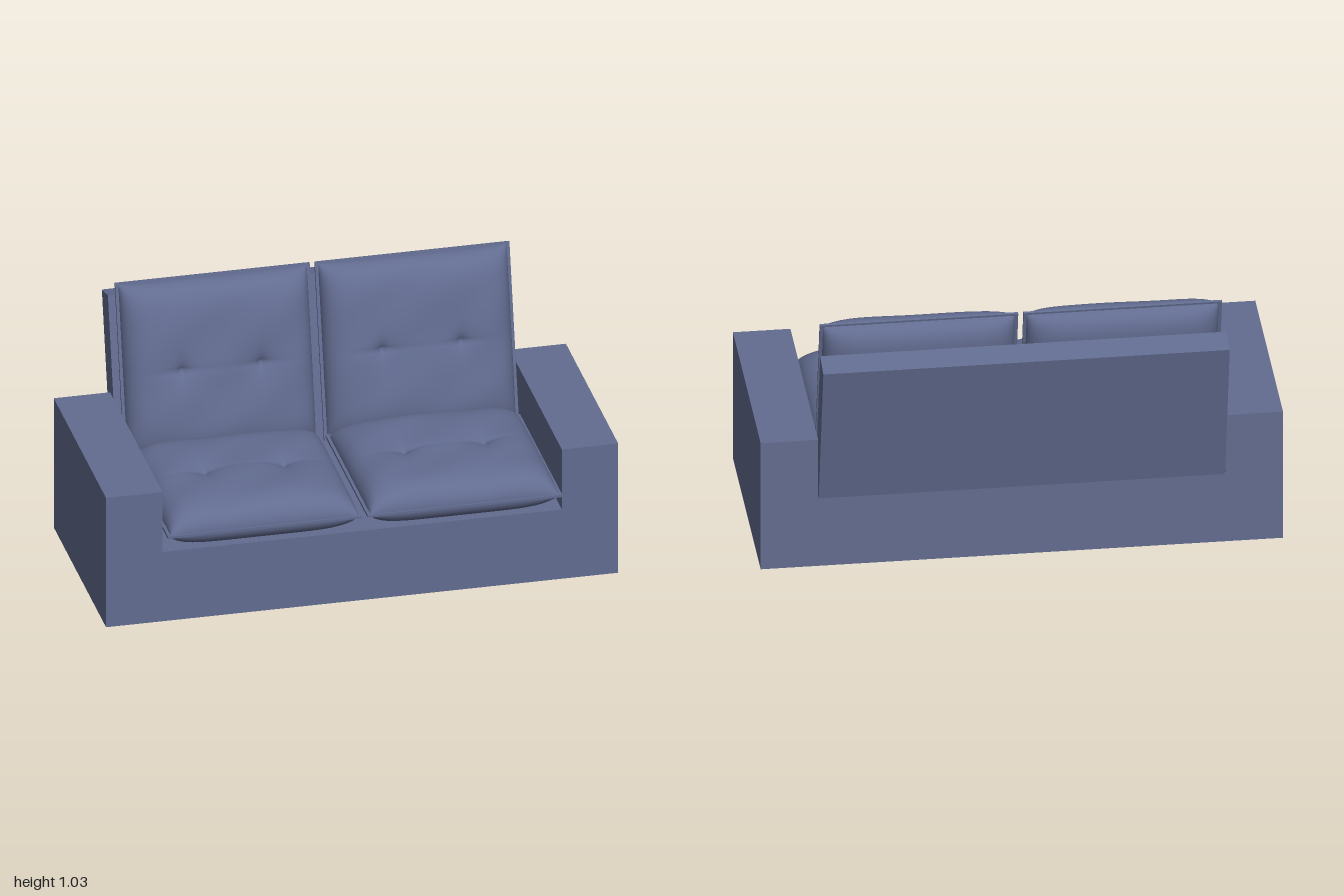
import * as THREE from 'three';
import { mergeGeometries } from 'three/addons/utils/BufferGeometryUtils.js';

const CUSHION_W = 0.76, CUSHION_L = 0.70;

// One puffy half of a cushion, bulging towards +z; the upper half is tufted
function cushionHalf(height, segments, tufted, seed) {
  const geo = new THREE.PlaneGeometry(2, 2, segments, segments);
  const pos = geo.attributes.position;
  const spread = s => s * (1.5 - 0.5 * s * s); // denser rows near the edges
  const puff = u => Math.sqrt(Math.max(0, 1 - Math.abs(u) ** 6));
  for (let i = 0; i < pos.count; i++) {
    const u = spread(pos.getX(i)), v = spread(pos.getY(i));
    const x = u * (CUSHION_W / 2 - 0.012), y = v * (CUSHION_L / 2 - 0.008);
    let h = height;
    if (tufted) {
      // soft leather wrinkles
      h += 0.003 * Math.sin(9 * x + 6 * y + seed * 2.1) + 0.002 * Math.sin(17 * x - 23 * y + seed);
      // button pits with crossed creases
      for (const bx of [-0.155, 0.155]) {
        const dx = Math.abs(x - bx), dy = Math.abs(y);
        h -= 0.022 * Math.exp(-Math.hypot(dx, dy) / 0.045);
        h -= 0.010 * Math.exp(-dx / 0.07 - dy / 0.012);
        h -= 0.010 * Math.exp(-dy / 0.06 - dx / 0.012);
      }
    }
    pos.setXYZ(i, x, y, h * puff(u) * puff(v));
  }
  geo.computeVertexNormals();
  return geo;
}

// Whole cushion: tufted face, plain underside and a thin seam flange
function makeCushion(name, material, seed) {
  const group = new THREE.Group();
  group.name = name;
  const body = mergeGeometries([
    cushionHalf(0.102, 90, true, seed),
    cushionHalf(0.082, 40, false, seed).rotateY(Math.PI),
  ]);
  const puffs = new THREE.Mesh(body, material);
  puffs.name = 'cushionBody';
  const flange = new THREE.Mesh(new THREE.BoxGeometry(CUSHION_W, CUSHION_L, 0.01), material);
  flange.name = 'cushionSeam';
  group.add(puffs, flange);
  return group;
}

function polygon(points) {
  return new THREE.Shape(points.map(([x, y]) => new THREE.Vector2(x, y)));
}

export function createModel() {
  const sofa = new THREE.Group();
  sofa.name = 'sofa';
  const fabric = new THREE.MeshStandardMaterial({ color: 0x626c90 });
  fabric.name = 'slate blue upholstery';

  // Base and arms: one U-shaped block
  const baseShape = polygon([
    [-1, 0], [1, 0], [1, 0.55], [0.78, 0.55], [0.78, 0.295],
    [-0.78, 0.295], [-0.78, 0.55], [-1, 0.55],
  ]);
  const baseGeo = new THREE.ExtrudeGeometry(baseShape, { depth: 0.865, bevelEnabled: false });
  const base = new THREE.Mesh(baseGeo.translate(0, 0, -0.385), fabric);
  base.name = 'baseAndArms';
  sofa.add(base);

  // Fine seam down the middle of the base front
  const seam = new THREE.Mesh(new THREE.BoxGeometry(0.003, 0.29, 0.003), fabric);
  seam.name = 'frontSeam';
  seam.position.set(0, 0.147, 0.48);
  sofa.add(seam);

  // Leaning back panel: side profile (z, y) extruded across the width
  const backShape = polygon([[-0.383, 0.285], [-0.28, 0.285], [-0.43, 0.94], [-0.53, 0.916]]);
  const backGeo = new THREE.ExtrudeGeometry(backShape, { depth: 1.556, bevelEnabled: false });
  const back = new THREE.Mesh(backGeo.translate(0, 0, -0.778).rotateY(-Math.PI / 2), fabric);
  // the turn maps profile x onto +z
  back.name = 'backPanel';
  sofa.add(back);

  // Two seat cushions and two leaning back cushions
  [['right', -1], ['left', 1]].forEach(([side, s], i) => {
    const seat = makeCushion(side + 'SeatCushion', fabric, 1 + i * 2);
    seat.rotation.x = -Math.PI / 2;
    seat.position.set(s * 0.39, 0.378, 0.18);

    const rest = makeCushion(side + 'BackCushion', fabric, 2 + i * 3);
    rest.rotation.x = -0.227;
    rest.position.set(s * 0.39, 0.69, -0.271);
    sofa.add(seat, rest);
  });

  return sofa;
}
